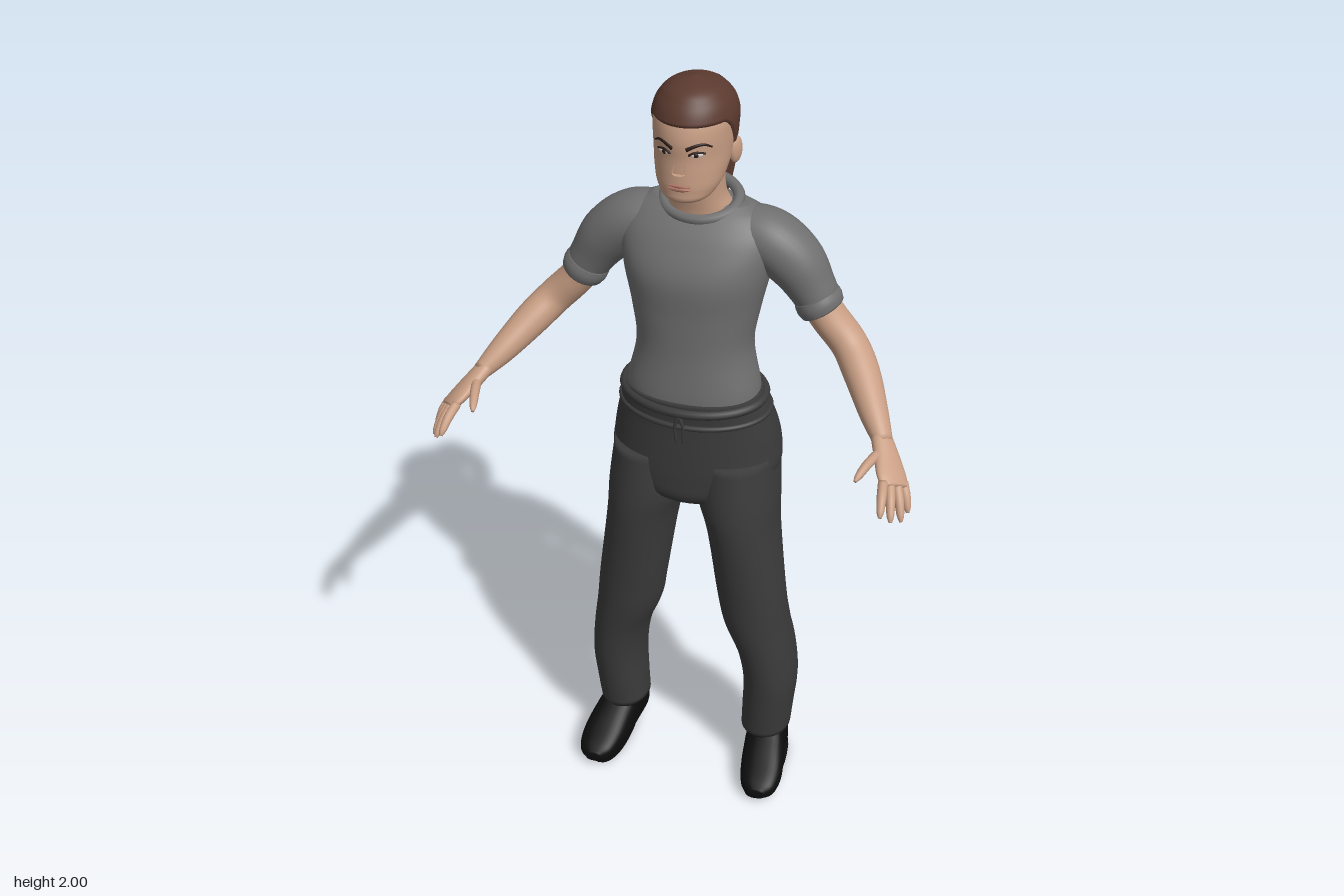
import * as THREE from 'three';

const mat = (name, color) => Object.assign(new THREE.MeshStandardMaterial({ color }), { name });
const M = {
  skin: mat('skin', 0xc89e84), hair: mat('hair brown', 0x5b3a2f), shirt: mat('shirt grey', 0x6f6f6f),
  pants: mat('trouser charcoal', 0x3b3b3b), black: mat('shoe black', 0x0d0d0d),
  eye: mat('eye white', 0xd8cfc8), dark: mat('brow dark', 0x2a1c18), lip: mat('lip rose', 0xad7464),
};
const UP = new THREE.Vector3(0, 1, 0), X = new THREE.Vector3(1, 0, 0);

function mesh(parent, name, geo, material) {
  const m = new THREE.Mesh(geo, material);
  m.name = name;
  parent.add(m);
  return m;
}

// Smooth closed skin over f(angle, v), v running 0..1
function skinOver(f, nu, nv) {
  const pos = [], idx = [];
  for (let j = 0; j <= nv; j++) for (let i = 0; i < nu; i++) pos.push(...f(i / nu * Math.PI * 2, j / nv));
  for (let j = 0; j < nv; j++) for (let i = 0; i < nu; i++) {
    const k = (i + 1) % nu, a = j * nu + i, b = j * nu + k;
    idx.push(a, a + nu, b, b, a + nu, b + nu);
  }
  const g = new THREE.BufferGeometry();
  g.setAttribute('position', new THREE.Float32BufferAttribute(pos, 3));
  g.setIndex(idx);
  g.computeVertexNormals();
  return g;
}

const smooth = (keys, rows) => {
  const it = new THREE.CubicInterpolant(keys, rows.flat(), rows[0].length);
  return t => [...it.evaluate(t)];
};

// Loft of ellipses through rows [x, y, z, radius along side, other radius]
function loft(rows, { side = X, tangent = null, p = 1, nu = 32, ripple = 0 } = {}) {
  const n = rows.length - 1, at = smooth(rows.map((_, i) => i), rows), nv = n * 6;
  const rings = [];
  for (let j = 0; j <= nv; j++) {
    const t = j / 6, r = at(t), a = at(Math.max(0, t - 0.05)), b = at(Math.min(n, t + 0.05));
    const tan = tangent ? tangent.clone() : new THREE.Vector3(b[0] - a[0], b[1] - a[1], b[2] - a[2]).normalize();
    const s = side.clone().addScaledVector(tan, -side.dot(tan)).normalize();
    rings.push({ c: new THREE.Vector3(r[0], r[1], r[2]), a: r[3], b: r[4], s, n: s.clone().cross(tan) });
  }
  const pw = v => Math.sign(v) * Math.abs(v) ** p;
  return skinOver((u, v) => {
    const j = Math.round(v * (nv + 2)) - 1, q = rings[Math.min(nv, Math.max(0, j))];
    const k = j < 0 || j > nv ? 0 : 1 + ripple * Math.cos(9 * u);
    return q.c.clone().addScaledVector(q.s, k * q.a * pw(Math.cos(u))).addScaledVector(q.n, k * q.b * pw(Math.sin(u))).toArray();
  }, nu, nv + 2);
}

// Rolled fabric edge around the body
function loop(rx, rz, cz, yAt, r) {
  const pts = Array.from({ length: 24 }, (_, i) => {
    const a = i / 24 * Math.PI * 2;
    return new THREE.Vector3(rx * Math.cos(a), yAt(Math.sin(a)), cz + rz * Math.sin(a));
  });
  return new THREE.TubeGeometry(new THREE.CatmullRomCurve3(pts, true), 64, r, 8, true);
}

function blob(parent, name, material, p, s, ry = 0) {
  const m = mesh(parent, name, new THREE.SphereGeometry(1, 20, 14), material);
  m.position.set(...p);
  m.scale.set(...s);
  m.rotation.y = ry;
}

// Head profile by height: centre z, half width, half depth
const HEAD = [[1.725, 0.025, 0.015, 0.015], [1.735, 0.022, 0.045, 0.045], [1.76, 0.002, 0.07, 0.073],
  [1.8, -0.022, 0.084, 0.097], [1.84, -0.038, 0.09, 0.111], [1.88, -0.044, 0.093, 0.119], [1.92, -0.047, 0.093, 0.113],
  [1.96, -0.045, 0.077, 0.09], [1.985, -0.042, 0.048, 0.057], [1.997, -0.04, 0.012, 0.014], [2, -0.04, 0, 0]];
const headAt = smooth(HEAD.map(r => r[0]), HEAD.map(r => r.slice(1)));
const headPoint = (u, y, k = 1) => {
  const [z, rx, rz] = headAt(y);
  return [k * rx * Math.cos(u), y, z + k * rz * Math.sin(u)];
};
const faceZ = (x, y) => {
  const [z, rx, rz] = headAt(y);
  return z + rz * Math.sqrt(1 - (x / rx) ** 2);
};

function addHead(g) {
  mesh(g, 'head', skinOver((u, v) => headPoint(u, 1.725 + 0.27 * (0.5 - 0.5 * Math.cos(Math.PI * v))), 48, 40), M.skin);
  mesh(g, 'neck', loft([[0, 1.62, -0.09, 0.085, 0.068], [0, 1.665, -0.085, 0.08, 0.066], [0, 1.71, -0.07, 0.066, 0.06],
    [0, 1.79, -0.055, 0.064, 0.062]], { tangent: UP }), M.skin);
  // Hair cap with a hairline that drops towards the nape
  mesh(g, 'hair', skinOver((u, v) => {
    const low = 1.757 + 0.158 * THREE.MathUtils.smoothstep(Math.sin(u), -0.65, 0.5);
    return headPoint(u, low + (2 - low) * Math.sin(v * Math.PI / 2), 0.985 + 0.065 * THREE.MathUtils.smoothstep(v, 0, 0.06));
  }, 64, 40), M.hair);
  mesh(g, 'ponytail', loft([[0, 1.915, -0.14, 0.03, 0.028], [0, 1.925, -0.185, 0.017, 0.017], [0, 1.88, -0.212, 0.028, 0.026],
    [0, 1.76, -0.232, 0.042, 0.04], [0, 1.66, -0.226, 0.031, 0.029], [0, 1.575, -0.215, 0.006, 0.006]], { ripple: 0.05, nu: 72 }), M.hair);
  const tie = mesh(g, 'hairTie', new THREE.TorusGeometry(0.017, 0.008, 10, 24), M.black);
  tie.position.set(0, 1.925, -0.187);
  tie.rotation.x = 0.5;
  // Face
  mesh(g, 'nose', loft([[0, 1.868, 0.066, 0.008, 0.008], [0, 1.84, 0.073, 0.01, 0.011], [0, 1.818, 0.08, 0.015, 0.014],
    [0, 1.808, 0.074, 0.015, 0.012]], { tangent: UP }), M.skin);
  for (const [name, y, h] of [['upperLip', 1.779, 0.004], ['lowerLip', 1.771, 0.005]])
    mesh(g, name, loft([-0.027, -0.013, 0, 0.013, 0.027].map((x, i) =>
      [x, y, faceZ(x, y), [0.001, 0.8 * h, h, 0.8 * h, 0.001][i], 0.004]), { side: UP, nu: 12 }), M.lip);
  for (const s of [1, -1]) {
    const brow = [[0.016, 1.868], [0.035, 1.877], [0.052, 1.879], [0.066, 1.87]];
    mesh(g, 'eyebrow', loft(brow.map(([x, y], i) => [s * x, y, faceZ(x, y), 0.005 - i * 0.001, 0.003]), { side: UP, nu: 12 }), M.dark);
    const lash = [[0.021, 1.855], [0.036, 1.862], [0.055, 1.857]];
    mesh(g, 'eyelashes', loft(lash.map(([x, y]) => [s * x, y, faceZ(x, y) + 0.001, 0.0025, 0.003]), { side: UP, nu: 10 }), M.dark);
    blob(g, 'eye', M.eye, [s * 0.038, 1.855, faceZ(0.038, 1.855)], [0.015, 0.006, 0.003], s * 0.4);
    blob(g, 'iris', M.dark, [s * 0.037, 1.855, faceZ(0.037, 1.855) + 0.001], [0.006, 0.006, 0.0035], s * 0.4);
    blob(g, 'ear', M.skin, [s * 0.092, 1.825, -0.058], [0.011, 0.033, 0.02], s * -0.4);
  }
}

function addTorso(g) {
  mesh(g, 'shirtBody', loft([[0, 1.175, -0.042, 0.168, 0.116], [0, 1.22, -0.043, 0.164, 0.116], [0, 1.32, -0.05, 0.144, 0.115],
    [0, 1.42, -0.058, 0.158, 0.121], [0, 1.52, -0.064, 0.18, 0.125], [0, 1.6, -0.082, 0.192, 0.106],
    [0, 1.65, -0.093, 0.165, 0.078], [0, 1.678, -0.097, 0.115, 0.05]], { tangent: UP, p: 0.9, nu: 48 }), M.shirt);
  mesh(g, 'collar', loop(0.09, 0.072, -0.092, s => 1.676 - 0.024 * s, 0.014), M.shirt);
  // Trouser seat, waistband and drawstring
  mesh(g, 'trouserSeat', loft([[0, 1.2, -0.042, 0.172, 0.12], [0, 1.13, -0.06, 0.194, 0.132], [0, 1.05, -0.074, 0.212, 0.149],
    [0, 0.97, -0.068, 0.213, 0.145], [0, 0.91, -0.055, 0.15, 0.125], [0, 0.865, -0.045, 0.03, 0.06]].reverse(),
    { tangent: UP, p: 0.93, nu: 48 }), M.pants);
  mesh(g, 'waistband', loop(0.178, 0.123, -0.044, s => 1.186 - 0.01 * s, 0.012), M.pants);
  mesh(g, 'waistSeam', loop(0.19, 0.131, -0.054, s => 1.143 - 0.008 * s, 0.007), M.pants);
  for (const s of [1, -1])
    mesh(g, 'drawstring', loft([[0, 1.17, 0.084, 0.005, 0.004], [s * 0.01, 1.14, 0.083, 0.004, 0.004],
      [s * 0.008, 1.09, 0.078, 0.003, 0.003]], { nu: 10 }), M.pants);
}

function addArm(g, s) {
  const flip = rows => rows.map(([x, ...r]) => [s * x, ...r]);
  const Z = new THREE.Vector3(0, 0, 1), across = new THREE.Vector3(s * 0.62, -0.31, -0.72);
  mesh(g, 'sleeve', loft(flip([[0.08, 1.612, -0.094, 0.06, 0.06], [0.165, 1.595, -0.094, 0.077, 0.07], [0.23, 1.545, -0.094, 0.074, 0.07],
    [0.273, 1.485, -0.092, 0.062, 0.058], [0.3, 1.437, -0.09, 0.056, 0.051]]), { side: Z }), M.shirt);
  mesh(g, 'sleeveCuff', loft(flip([[0.285, 1.465, -0.091, 0.06, 0.055], [0.294, 1.448, -0.09, 0.063, 0.058],
    [0.303, 1.432, -0.09, 0.059, 0.054]]), { side: Z }), M.shirt);
  mesh(g, 'arm', loft(flip([[0.27, 1.48, -0.09, 0.05, 0.045], [0.32, 1.41, -0.09, 0.05, 0.044], [0.375, 1.352, -0.078, 0.047, 0.044],
    [0.42, 1.305, -0.03, 0.046, 0.043], [0.47, 1.25, 0.045, 0.036, 0.034], [0.508, 1.21, 0.1, 0.025, 0.022]]), { side: Z }), M.skin);
  mesh(g, 'palm', loft(flip([[0.497, 1.222, 0.085, 0.026, 0.021], [0.525, 1.19, 0.13, 0.036, 0.02], [0.547, 1.167, 0.17, 0.042, 0.016],
    [0.56, 1.155, 0.19, 0.036, 0.011]]), { side: across }), M.skin);
  // Each finger: base, then tip
  const fingers = { index: [0.533, 1.17, 0.2, 0.545, 1.122, 0.274], middle: [0.547, 1.163, 0.188, 0.567, 1.102, 0.257],
    ring: [0.56, 1.156, 0.174, 0.586, 1.088, 0.227], little: [0.572, 1.15, 0.158, 0.594, 1.092, 0.192],
    thumb: [0.508, 1.203, 0.125, 0.474, 1.182, 0.234] };
  for (const [name, f] of Object.entries(fingers)) {
    const rows = [[0, 0.012], [0.5, 0.0115], [0.85, 0.009], [1, 0.004]].map(([t, r]) =>
      [...[0, 1, 2].map(i => f[i] + (f[i + 3] - f[i]) * t + (i === 1 ? 0.03 * t * (1 - t) : 0)), r, r]);
    mesh(g, name + 'Finger', loft(flip(rows), { side: across, nu: 12 }), M.skin);
  }
}

function addLeg(g, s) {
  const flip = rows => rows.map(([x, ...r]) => [s * x, ...r]);
  mesh(g, 'trouserLeg', loft(flip([[0.205, 0.125, -0.058, 0.066, 0.08], [0.21, 0.2, -0.055, 0.068, 0.086], [0.215, 0.3, -0.054, 0.071, 0.095],
    [0.203, 0.4, -0.05, 0.075, 0.1], [0.177, 0.5, -0.038, 0.086, 0.098], [0.162, 0.6, -0.03, 0.089, 0.097],
    [0.135, 0.8, -0.04, 0.091, 0.124], [0.118, 0.9, -0.052, 0.103, 0.136], [0.11, 1.02, -0.07, 0.099, 0.14]]),
    { tangent: UP, p: 0.95 }), M.pants);
  blob(g, 'calfPatch', M.black, [s * 0.19, 0.27, -0.142], [0.024, 0.028, 0.009], s * 0.4);
  // Shoe with low heel
  mesh(g, 'shoe', loft(flip([[0.205, 0.06, -0.14, 0.034, 0.03], [0.206, 0.072, -0.11, 0.05, 0.06], [0.212, 0.075, -0.04, 0.054, 0.068],
    [0.222, 0.06, 0.02, 0.058, 0.055], [0.23, 0.044, 0.075, 0.057, 0.04], [0.234, 0.033, 0.12, 0.045, 0.026],
    [0.235, 0.028, 0.143, 0.02, 0.013]]), { tangent: new THREE.Vector3(0, 0, 1), p: 0.75 }), M.black);
  mesh(g, 'sole', loft(flip([[0.232, 0, 0, 0.048, 0.13], [0.232, 0.02, 0, 0.05, 0.135]]).map(r => [r[0] - s * 0.009, ...r.slice(1)]),
    { tangent: UP, p: 0.85 }), M.black);
  mesh(g, 'shoeCollar', loft(flip([[0.212, 0.06, -0.055, 0.055, 0.08], [0.208, 0.14, -0.058, 0.056, 0.07]]), { tangent: UP }), M.black);
}

export function createModel() {
  const root = new THREE.Group();
  root.name = 'standingWoman';
  const part = name => {
    const g = new THREE.Group();
    g.name = name;
    root.add(g);
    return g;
  };
  addHead(part('headGroup'));
  addTorso(part('torsoGroup'));
  for (const [s, label] of [[1, 'left'], [-1, 'right']]) {
    addArm(part(label + 'Arm'), s);
    addLeg(part(label + 'Leg'), s);
  }
  return root;
}
